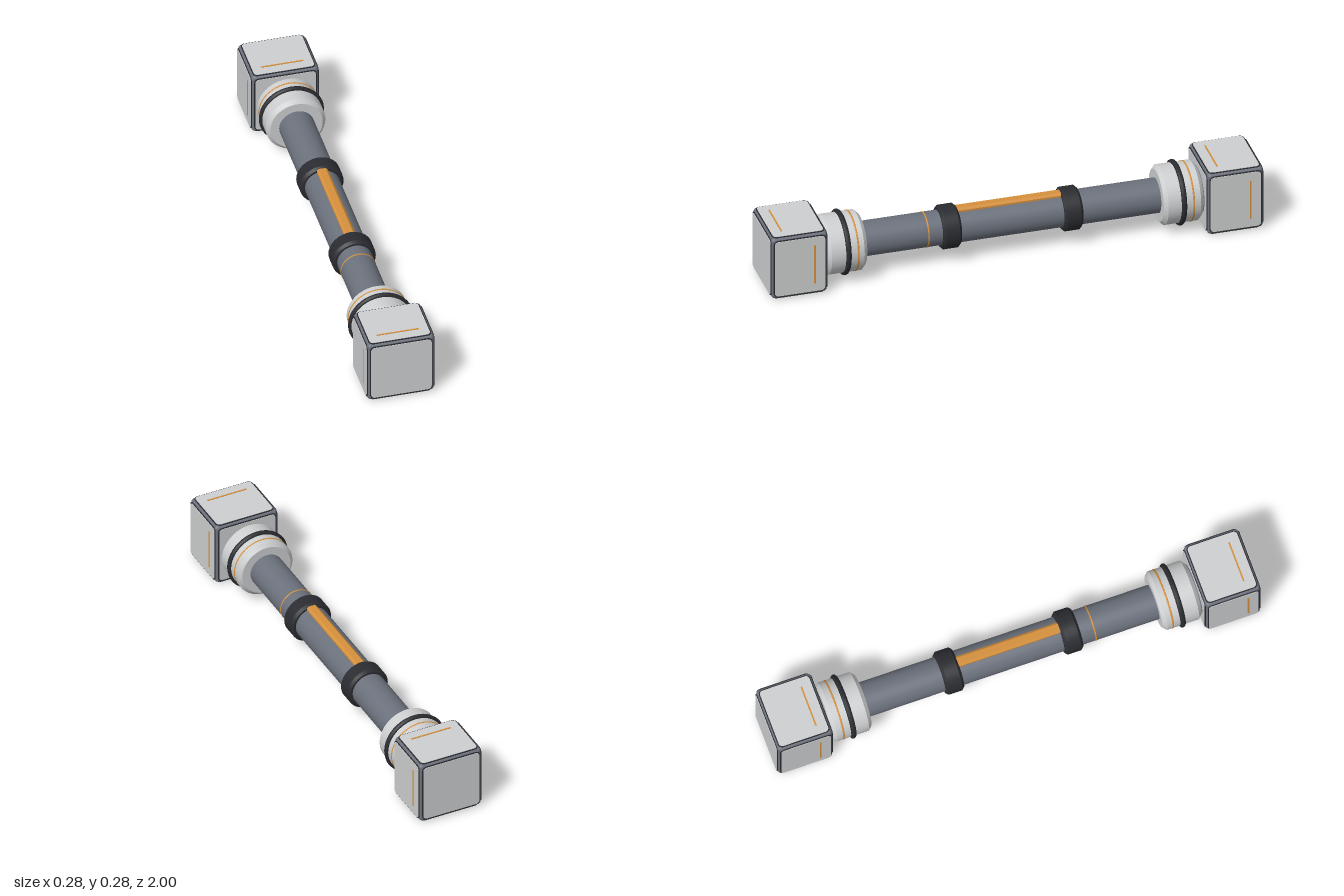
import * as THREE from 'three';
import { RoundedBoxGeometry } from 'three/addons/geometries/RoundedBoxGeometry.js';
import { toCreasedNormals } from 'three/addons/utils/BufferGeometryUtils.js';

const AXIS = 0.14; // height of the rod's centre line
const mat = (name, color) => {
  const m = new THREE.MeshStandardMaterial({ color });
  m.name = name;
  return m;
};

export function createModel() {
  const shell = mat('light grey shell', 0xcdcfd0);
  const steel = mat('blue grey steel', 0x6b717c);
  const rubber = mat('black rubber', 0x2b2c31);
  const amber = mat('amber', 0xd5903c);

  const model = new THREE.Group();
  model.name = 'hammerRod';
  const body = new THREE.Group();
  body.name = 'body';
  body.position.y = AXIS;
  model.add(body);

  const add = (parent, name, geometry, material, x = 0, y = 0, z = 0) => {
    const mesh = new THREE.Mesh(geometry, material);
    mesh.name = name;
    mesh.position.set(x, y, z);
    parent.add(mesh);
    return mesh;
  };

  // Closed drum along z with chamfered rims
  const drum = (radius, length, chamfer) => {
    const h = length / 2;
    const profile = [
      [0, -h], [radius - chamfer, -h], [radius, -h + chamfer],
      [radius, h - chamfer], [radius - chamfer, h], [0, h],
    ].map(([r, y]) => new THREE.Vector2(r, y));
    const g = new THREE.LatheGeometry(profile, 40).rotateX(Math.PI / 2);
    return toCreasedNormals(g, 0.5);
  };

  // Plate with rounded corners, lying on z = 0 and facing +z
  const plate = (w, h, r, depth) => {
    const a = w / 2, b = h / 2;
    const s = new THREE.Shape();
    s.moveTo(-a + r, -b);
    s.lineTo(a - r, -b).absarc(a - r, -b + r, r, -Math.PI / 2, 0);
    s.lineTo(a, b - r).absarc(a - r, b - r, r, 0, Math.PI / 2);
    s.lineTo(-a + r, b).absarc(-a + r, b - r, r, Math.PI / 2, Math.PI);
    s.lineTo(-a, -b + r).absarc(-a + r, -b + r, r, Math.PI, Math.PI * 1.5);
    return new THREE.ExtrudeGeometry(s, { depth, bevelEnabled: false, curveSegments: 5 });
  };

  // Central rod with its thin amber band
  add(body, 'rod', new THREE.CylinderGeometry(0.07, 0.07, 1.24, 40).rotateX(Math.PI / 2), steel);
  add(body, 'rodBand', drum(0.0715, 0.006, 0.001), amber, 0, 0, 0.34);

  // Amber strip with chamfered shoulders along the top
  const strip = new THREE.Shape();
  [[-0.022, 0.055], [0.022, 0.055], [0.022, 0.074], [0.013, 0.082], [-0.013, 0.082], [-0.022, 0.074]]
    .forEach(([x, y], i) => (i ? strip.lineTo(x, y) : strip.moveTo(x, y)));
  add(body, 'topStrip', new THREE.ExtrudeGeometry(strip, { depth: 0.42, bevelEnabled: false }),
    amber, 0, 0, -0.21);

  // Six faces of a head: rotation, outward distance, panel width and height
  const half = 0.134, halfZ = 0.1125, q = Math.PI / 2;
  const faces = [
    ['front', 0, 0, halfZ, 0.243, 0.243],
    ['back', 0, Math.PI, halfZ, 0.243, 0.243],
    ['left', 0, q, half, 0.204, 0.243],
    ['right', 0, -q, half, 0.204, 0.243],
    ['top', -q, 0, half, 0.243, 0.204],
    ['bottom', q, 0, half, 0.243, 0.204],
  ];

  for (const side of [1, -1]) {
    const end = side > 0 ? 'front' : 'rear';

    // Grip ring
    add(body, end + 'GripRing', drum(0.088, 0.075, 0.01), rubber, 0, 0, side * 0.246);

    // Collar with rubber ring, amber band and neck
    add(body, end + 'Collar', drum(0.12, 0.162, 0.015), shell, 0, 0, side * 0.682);
    add(body, end + 'CollarRing', new THREE.TorusGeometry(0.12, 0.011, 10, 40), rubber, 0, 0, side * 0.68);
    add(body, end + 'CollarBand', drum(0.1212, 0.007, 0.001), amber, 0, 0, side * 0.68 - 0.04);
    add(body, end + 'Neck', drum(0.1, 0.06, 0.002), steel, 0, 0, side * 0.76);

    // Block head with a panel and dark rim on every face
    const head = new THREE.Group();
    head.name = end + 'Head';
    head.position.z = side * 0.8835;
    body.add(head);
    add(head, 'frame', new RoundedBoxGeometry(half * 2, half * 2, halfZ * 2, 3, 0.014), steel);
    for (const [name, rx, ry, d, w, h] of faces) {
      const holder = new THREE.Group();
      holder.name = name + 'Face';
      holder.rotation.set(rx, ry, 0);
      head.add(holder);
      add(holder, 'panelRim', plate(w + 0.008, h + 0.008, 0.018, 0.003), rubber, 0, 0, d - 0.001);
      add(holder, 'panel', plate(w, h, 0.015, 0.004), shell, 0, 0, d);
    }

    // Amber lines on the four long faces
    const out = half + 0.004;
    for (const s of [1, -1]) {
      add(head, s > 0 ? 'topLine' : 'bottomLine',
        new THREE.BoxGeometry(0.17, 0.004, 0.006), amber, 0, s * out, 0.06);
      add(head, s > 0 ? 'leftLine' : 'rightLine',
        new THREE.BoxGeometry(0.004, 0.17, 0.006), amber, s * out, 0, -s * 0.06);
    }
  }
  return model;
}
